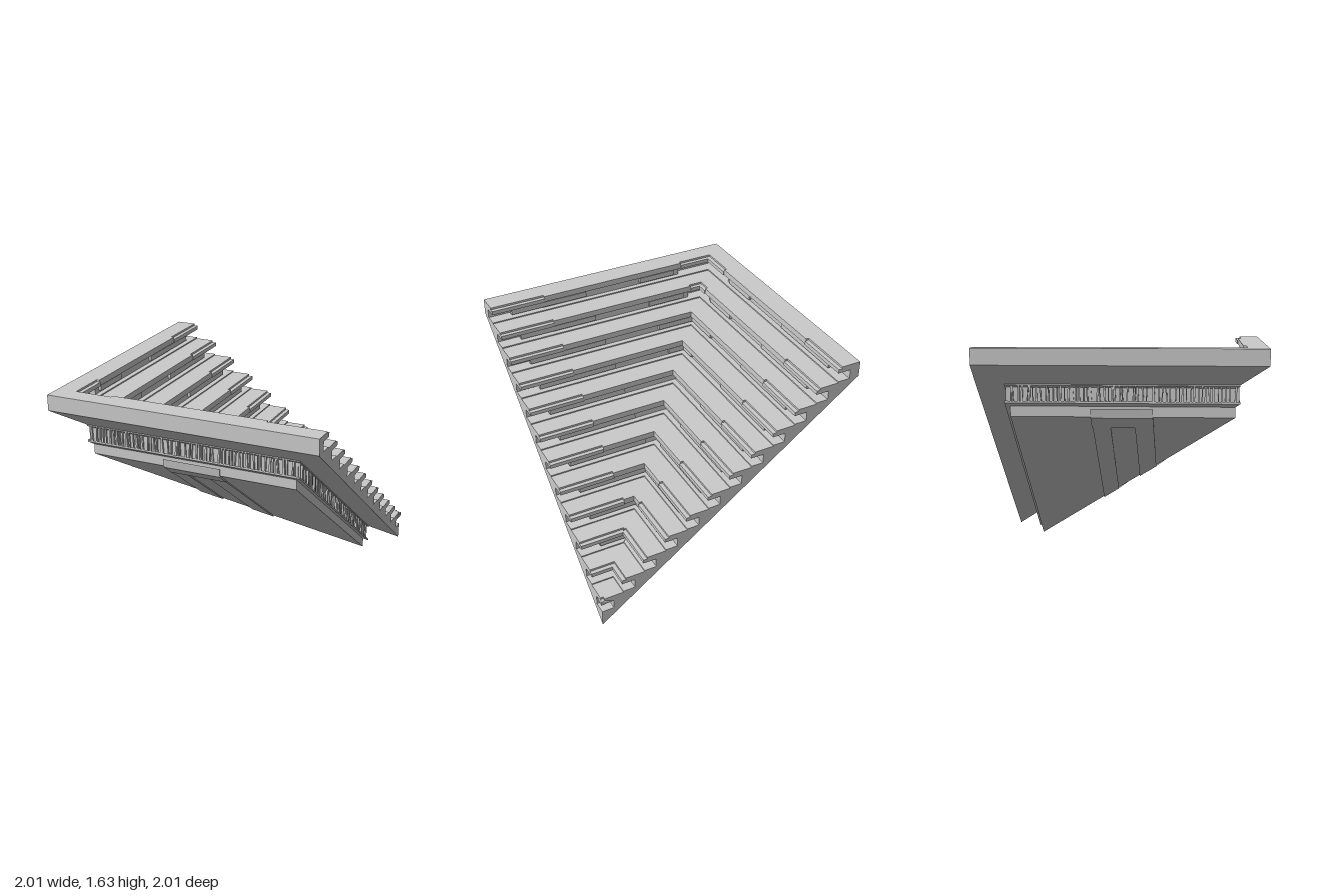
import * as THREE from 'three';
import { mergeGeometries } from 'three/addons/utils/BufferGeometryUtils.js';

const STEPS = 12, RUN = 2 / STEPS, SLOPE = 0.745, RISE = SLOPE * RUN;
const TOP = 1.635, UNDER = 1.52;

// Sweeps a profile of [d, y] points along the front arm from u0 to u1.
// d is the distance in from the outer edge; the start is cut to the diagonal mitre.
function sweep(profile, u0, u1, lean = 0) {
  const shape = new THREE.Shape(profile.map(([d, y]) => new THREE.Vector2(d, y)));
  const g = new THREE.ExtrudeGeometry(shape, { depth: 1, bevelEnabled: false });
  const p = g.attributes.position;
  const base = Math.min(...profile.map((q) => q[1]));
  for (let i = 0; i < p.count; i++) {
    const d = p.getX(i), y = p.getY(i);
    const u = Math.max(p.getZ(i) > 0.5 ? u1 : u0, d - 1);
    p.setXYZ(i, u + lean * (y - base), y, 1 - d);
  }
  g.computeVertexNormals();
  return g;
}

// Reflects a front arm piece across the diagonal to make the left arm
function reflect(source) {
  const g = source.clone(), p = g.attributes.position;
  for (let i = 0; i < p.count; i++) p.setXYZ(i, -p.getZ(i), p.getY(i), -p.getX(i));
  for (let i = 0; i < p.count; i += 3) {
    const b = new THREE.Vector3().fromBufferAttribute(p, i + 1);
    const c = new THREE.Vector3().fromBufferAttribute(p, i + 2);
    p.setXYZ(i + 1, c.x, c.y, c.z);
    p.setXYZ(i + 2, b.x, b.y, b.z);
  }
  g.computeVertexNormals();
  return g;
}

// Sloping slab under the flight; c1 and c2 are its top and bottom heights at d = 0
function slab(a, b, c1, c2) {
  const d0 = 1 - a, d1 = 1 + b;
  return sweep([
    [d0, c2 - SLOPE * d0], [d1, c2 - SLOPE * d1],
    [d1, c1 - SLOPE * d1], [d0, c1 - SLOPE * d0],
  ], -a, b);
}

// One tread with a channel cut in its riser, and a stepped nosing where notched
function stepProfile(k, depth, notched) {
  const d0 = k * RUN, d1 = d0 + RUN, t = TOP - k * RISE;
  const nose = d1 + (notched ? 0.008 : 0);
  const edge = notched
    ? [[nose, t - 0.015], [d1 - 0.022, t - 0.015], [d1 - 0.022, t]]
    : [[nose, t]];
  return [
    [d0, UNDER - SLOPE * d0], [d1, UNDER - SLOPE * d1],
    [d1, t - 0.115], [d1 - depth, t - 0.115],
    [d1 - depth, t - 0.045], [nose, t - 0.045],
    ...edge, [d0, t],
  ];
}

export function createModel() {
  const model = new THREE.Group();
  const material = new THREE.MeshStandardMaterial({ color: 0xcccccc, flatShading: true });
  const add = (name, parts) => {
    const both = [...parts, ...parts.map(reflect)];
    const mesh = new THREE.Mesh(mergeGeometries(both), material);
    mesh.name = name;
    model.add(mesh);
  };

  // Steps and the strips set in their risers
  for (let k = 0; k < STEPS; k++) {
    const parts = [], strips = [];
    const mitre = k * RUN - 1, d1 = (k + 1) * RUN, t = TOP - k * RISE;
    const sections = [
      [-1, -0.58, k < 2 ? 0.09 : 0.04, k < 2],
      [-0.58, 0.58, 0.04, false],
      [0.58, 1, 0.09, true],
    ];
    for (const [u0, u1, depth, notched] of sections) {
      if (mitre < u1 - 0.001) parts.push(sweep(stepProfile(k, depth, notched), u0, u1));
    }
    for (const [u0, u1] of [[-0.53, -0.23], [0.23, 0.84]]) {
      if (d1 - 1 > u1 - 0.02) continue;
      strips.push(sweep([
        [d1 - 0.05, t - 0.1], [d1 - 0.02, t - 0.1],
        [d1 - 0.02, t - 0.06], [d1 - 0.05, t - 0.06],
      ], u0, u1));
    }
    add('step', parts);
    if (strips.length) add('riserStrip', strips);
  }

  // Frieze: inset core between two rails
  const A = 0.812, B = 0.802, FT = 1.525, FB = 1.39;
  add('friezeCore', [slab(A - 0.02, B - 0.02, FT - 0.005, FB + 0.005)]);
  add('friezeRail', [slab(A, B, FT, FT - 0.014), slab(A, B, FB + 0.014, FB)]);

  // Uneven slats around the frieze
  let seed = 7;
  const rand = () => (seed = (seed * 16807) % 2147483647) / 2147483647;
  const slats = [];
  const COUNT = 58, d0 = 1 - A;
  for (let i = 0; i < COUNT; i++) {
    const s = (i + 0.2 + 0.6 * rand()) / COUNT;
    const w = 0.005 + 0.009 * rand(), out = 0.003 + 0.008 * rand();
    const lean = (rand() - 0.5) * 0.16;
    const u = -A + 0.02 + s * (A + B - 0.05);
    const yb = FB - SLOPE * d0 + 0.005, yt = FT - SLOPE * d0 - 0.005;
    slats.push(sweep([
      [d0 + out, yb], [d0 + 0.024, yb], [d0 + 0.024, yt], [d0 + out, yt],
    ], u, u + w, lean));
    const d = d0 + 0.02 + s * (A + B - 0.06), e = d + lean * 0.12;
    slats.push(sweep([
      [d, FB + 0.005 - SLOPE * d], [d + w, FB + 0.005 - SLOPE * (d + w)],
      [e + w, FT - 0.005 - SLOPE * (e + w)], [e, FT - 0.005 - SLOPE * e],
    ], B - 0.024, B - out));
  }
  add('friezeSlats', slats);

  // Base slab below the frieze
  const base = SLOPE * 1.768;
  add('baseSlab', [slab(0.78, 0.768, FB, base)]);

  // Raised panels running down the underside
  const ribs = [[-0.22, -0.09], [0.08, 0.205]].map(([x0, x1]) => {
    const ds = [0.23, 1 + x0, 1 + x1];
    const low = ds.map((d) => [d, base - 0.01 - SLOPE * d]);
    const high = ds.map((d) => [d, base + 0.005 - SLOPE * d]).reverse();
    return sweep([...low, ...high], x0, x1);
  });
  add('undersidePanel', ribs);

  // Central lip at the outer edge of the base
  add('baseLip', [sweep([
    [0.215, 1.145], [0.32, 1.065], [0.32, 1.14], [0.205, 1.21],
  ], -0.22, 0.21)]);

  return model;
}
